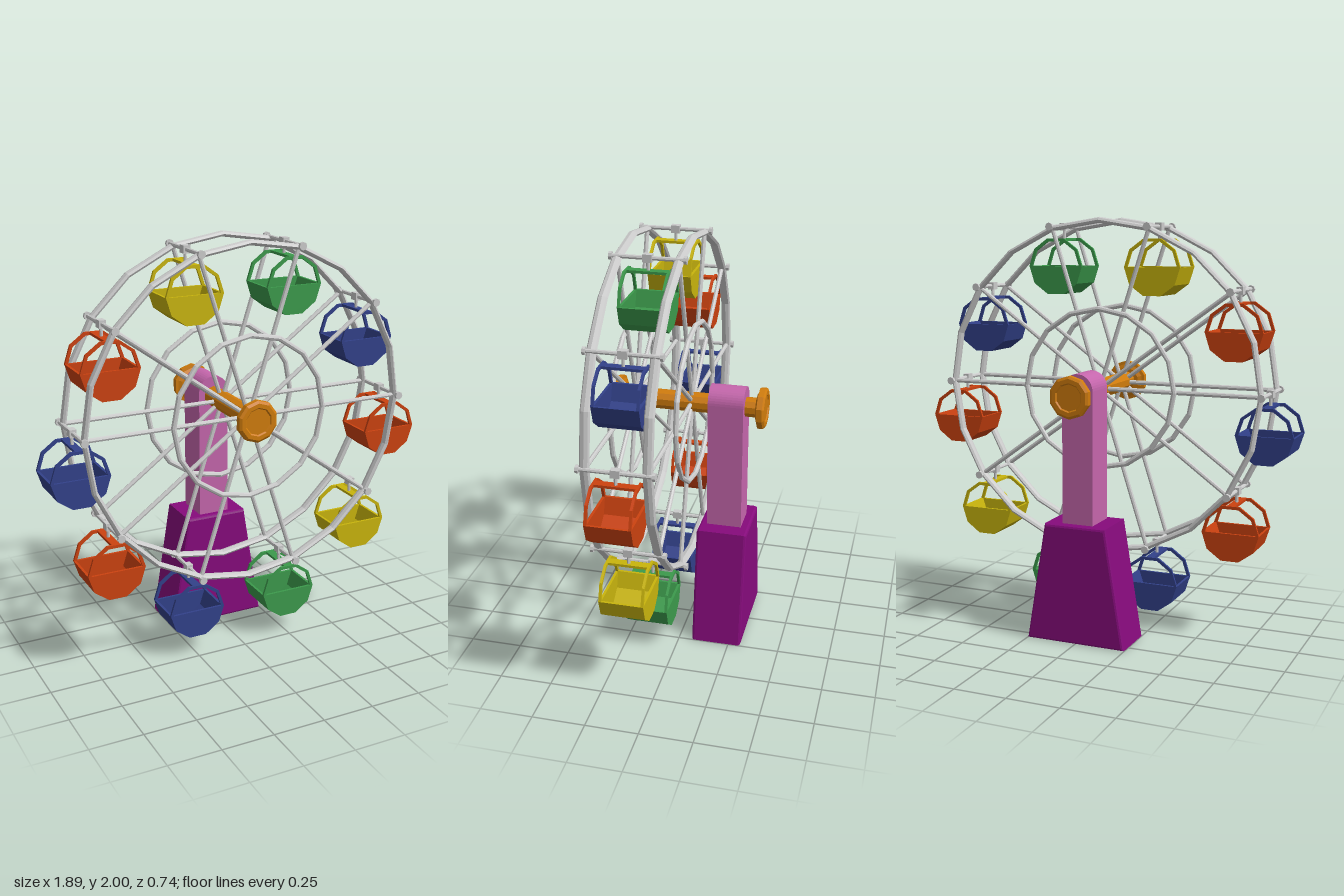
import * as THREE from 'three';

const HUB_Y = 1.187, RIM = 0.797, MID_Z = 0.13, RING_Z = [0.269, -0.008];
const mat = (color) => new THREE.MeshStandardMaterial({ color, flatShading: true });

function add(parent, name, geometry, material, x = 0, y = 0, z = 0) {
  const m = new THREE.Mesh(geometry, material);
  m.name = name;
  m.position.set(x, y, z);
  parent.add(m);
  return m;
}

// Cylinder lying along z
const zCylinder = (r, length, sides) => new THREE.CylinderGeometry(r, r, length, sides).rotateX(Math.PI / 2);

// Extrusion centred on z = 0
function slab(shape, depth) {
  return new THREE.ExtrudeGeometry(shape, { depth, bevelEnabled: false }).translate(0, 0, -depth / 2);
}

// Half of a decagon, from angle `start` through 180 degrees
function halfDecagon(r, start) {
  return Array.from({ length: 6 }, (_, i) => {
    const a = start + (i * Math.PI) / 5;
    return new THREE.Vector2(r * Math.cos(a), r * Math.sin(a));
  });
}
const band = (start, r, t) => new THREE.Shape([...halfDecagon(r, start), ...halfDecagon(r - t, start).reverse()]);

// Cabin: open tub below, a thin frame at each end above, and a roof bar
function createCabin(material) {
  const cabin = new THREE.Group();
  const R = 0.14, DEPTH = 0.207, T = 0.012;
  add(cabin, 'tubShell', slab(band(Math.PI, R, T), DEPTH), material);
  for (const s of [1, -1]) {
    const z = s * (DEPTH - T) / 2;
    add(cabin, 'tubEnd', slab(new THREE.Shape(halfDecagon(R, Math.PI)), T), material, 0, 0, z);
    add(cabin, 'windowFrame', slab(band(0, R, 0.015), T), material, 0, 0, z);
  }
  add(cabin, 'roofBar', new THREE.BoxGeometry(0.04, T, DEPTH), material, 0, 0.127, 0);
  return cabin;
}

export function createModel() {
  const model = new THREE.Group();
  model.name = 'ferrisWheel';
  const grey = mat(0xcccccc), gold = mat(0xd07c0c), pink = mat(0xc566ac), purple = mat(0x860b7c);
  const green = mat(0x3c9a4c), blue = mat(0x32418a), orange = mat(0xcc4210), yellow = mat(0xc9b50d);

  // Base: tapered block with bevelled edges
  const b = 0.012;
  const baseShape = new THREE.Shape([[-0.236, b], [0.236, b], [0.145, 0.563], [-0.145, 0.563]]
    .map(([x, y]) => new THREE.Vector2(x, y)));
  const base = new THREE.ExtrudeGeometry(baseShape,
    { depth: 0.222, bevelThickness: b, bevelSize: b, bevelSegments: 2 });
  add(model, 'base', base, purple, 0, 0, -0.299);

  // Pillar with a rounded top
  const pillar = new THREE.Shape();
  pillar.moveTo(-0.077, 0.55);
  pillar.lineTo(0.077, 0.55);
  pillar.lineTo(0.077, 1.208);
  pillar.absarc(0, 1.208, 0.077, 0, Math.PI, false);
  const pillarGeo = new THREE.ExtrudeGeometry(pillar, { depth: 0.17, bevelEnabled: false, curveSegments: 10 });
  add(model, 'pillar', pillarGeo, pink, 0, 0, -0.27);

  // Axle with a stepped flange at each end
  add(model, 'axle', zCylinder(0.048, 0.68, 10), gold, 0, HUB_Y, 0);
  const flange = new THREE.LatheGeometry([[0, -0.045], [0.066, -0.045], [0.085, -0.036], [0.1, -0.034], [0.1, -0.008],
    [0.088, 0], [0.068, 0], [0.062, -0.006], [0, -0.006]].map(([x, y]) => new THREE.Vector2(x, y)), 10);
  flange.rotateX(Math.PI / 2);
  for (const s of [1, -1]) {
    const end = add(model, 'axleFlange', flange, gold, 0, HUB_Y, s * 0.368);
    if (s < 0) end.rotation.y = Math.PI;
  }

  // Two wheel sides: rim, inner ring on the outer face, spokes
  const spokeGeo = new THREE.CylinderGeometry(0.011, 0.011, RIM, 8).translate(0, RIM / 2, 0);
  RING_Z.forEach((z, k) => {
    const side = new THREE.Group();
    side.name = k ? 'backWheel' : 'frontWheel';
    side.position.set(0, HUB_Y, z);
    model.add(side);
    add(side, 'rim', new THREE.TorusGeometry(RIM, 0.014, 8, 20).scale(1, 1, 1.65), grey);
    add(side, 'innerRing', new THREE.TorusGeometry(0.383, 0.013, 8, 16), grey, 0, 0, k ? -0.014 : 0.014);
    for (let i = 0; i < 10; i++) {
      add(side, 'spoke', spokeGeo, grey).rotation.z = (i * Math.PI) / 5 - Math.PI / 2;
    }
  });

  // Crossbars between the rims, each carrying a hanging cabin
  const colors = [orange, blue, green, yellow, orange, blue, orange, blue, green, yellow];
  const barGeo = zCylinder(0.01, 0.345, 8), capGeo = zCylinder(0.019, 0.014, 8);
  colors.forEach((color, i) => {
    const a = (i * Math.PI) / 5;
    const unit = new THREE.Group();
    unit.name = 'cabinUnit';
    unit.position.set(0.805 * Math.cos(a), HUB_Y + 0.805 * Math.sin(a), MID_Z);
    model.add(unit);
    add(unit, 'crossbar', barGeo, grey);
    for (const s of [1, -1]) add(unit, 'crossbarCap', capGeo, grey, 0, 0, s * 0.168);
    add(unit, 'hangerClamp', new THREE.BoxGeometry(0.032, 0.036, 0.042), grey);
    add(unit, 'hangerRod', new THREE.CylinderGeometry(0.008, 0.008, 0.06, 8), grey, 0, -0.03, 0);
    const cabin = createCabin(color);
    cabin.name = 'cabin';
    cabin.position.y = -0.188;
    unit.add(cabin);
  });

  return model;
}
